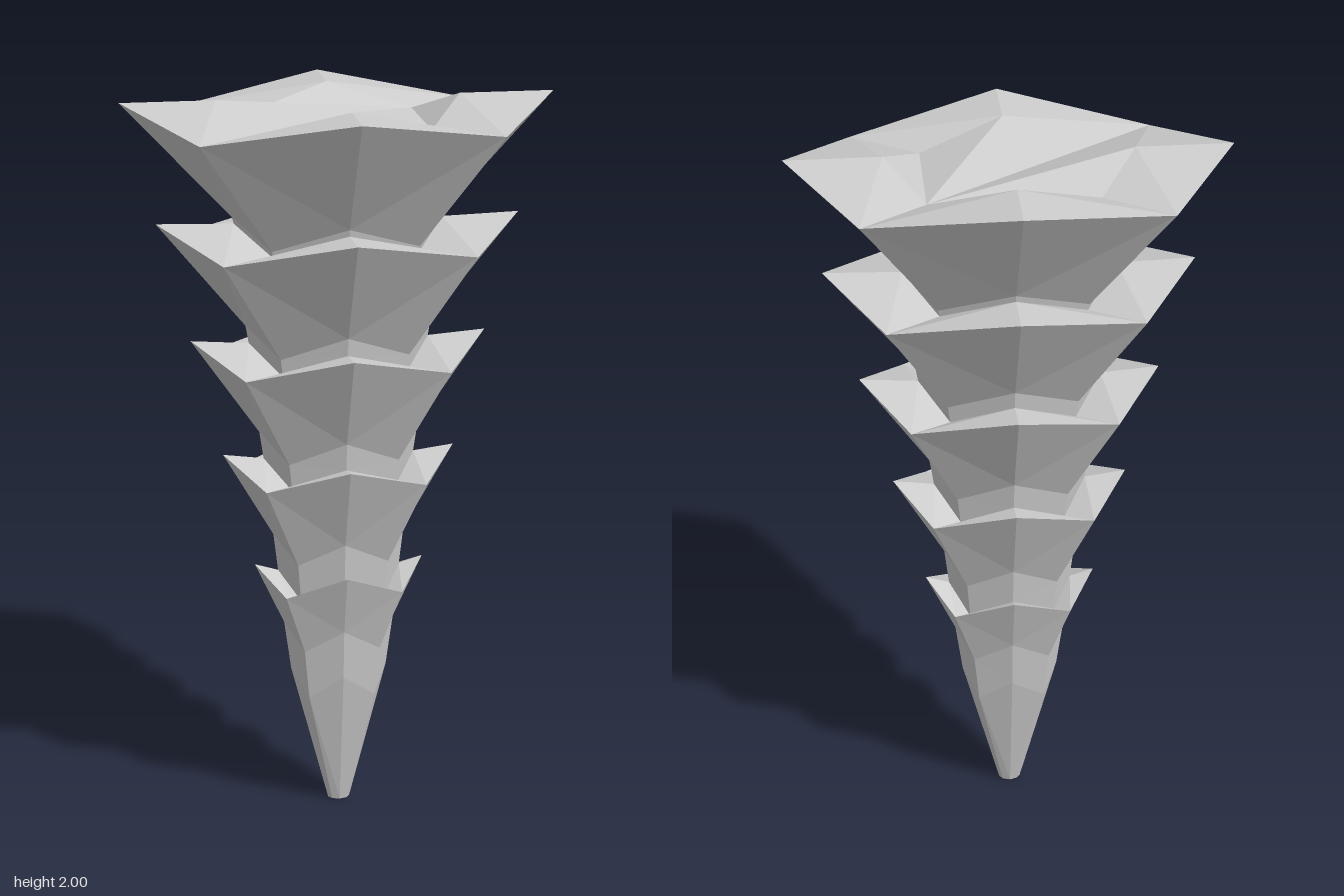
import * as THREE from 'three';

const DEPTH = 0.667; // z radius relative to x radius
const CORNER = 0.685; // size of the four diagonal corners

// Eight-point ring: the diagonal corners hang lower than the axis points
function ring(r, y, drop = 0.065) {
  return Array.from({ length: 8 }, (_, k) => {
    const a = (k * Math.PI) / 4;
    const diag = k % 2;
    const sx = diag ? Math.sign(Math.cos(a)) * CORNER : Math.round(Math.cos(a));
    const sz = diag ? Math.sign(Math.sin(a)) * CORNER : Math.round(Math.sin(a));
    return [sx * r, y - (diag ? drop : 0), sz * r * DEPTH];
  });
}

// Skin between two rings; ledges use the opposite quad diagonal
function band(low, up, ledge = false) {
  const tris = [];
  for (let k = 0; k < 8; k++) {
    const n = (k + 1) % 8;
    const a = low[k], b = low[n], c = up[n], d = up[k];
    if ((k % 2 === 0) !== ledge) tris.push(a, d, c, a, c, b);
    else tris.push(a, d, b, d, c, b);
  }
  return tris;
}

// Fan closing a ring from one of its points
function cap(points, hub, facingUp) {
  const tris = [];
  for (let i = 1; i < 7; i++) {
    const p = points[(hub + i) % 8], q = points[(hub + i + 1) % 8];
    tris.push(points[hub], ...(facingUp ? [q, p] : [p, q]));
  }
  return tris;
}

export function createModel() {
  const model = new THREE.Group();
  model.name = 'tieredSpike';
  const material = new THREE.MeshStandardMaterial({ color: 0xcccccc, flatShading: true });

  const addPart = (name, tris) => {
    const geometry = new THREE.BufferGeometry();
    geometry.setAttribute('position', new THREE.Float32BufferAttribute(tris.flat(), 3));
    geometry.computeVertexNormals();
    const mesh = new THREE.Mesh(geometry, material);
    mesh.name = name;
    model.add(mesh);
  };

  // Pointed tip with a small flat end
  const foot = ring(0.03, 0, 0);
  let base = ring(0.133, 0.4);
  addPart('tip', [...cap(foot, 0, false), ...band(foot, base)]);

  // Flared tiers, bottom to top: [waist r, waist y, rim r, rim y, inner r, inner y]
  const tiers = [
    [0.152, 0.54, 0.232, 0.715, 0.168, 0.695],
    [0.18, 0.8, 0.315, 1.035, 0.205, 1.02],
    [0.216, 1.095, 0.397, 1.357, 0.242, 1.345],
    [0.25, 1.393, 0.483, 1.678, 0.278, 1.672],
    [0.283, 1.69, 0.571, 2, 0.32, 2],
  ];
  tiers.forEach(([wr, wy, rr, ry, ir, iy], i) => {
    const waist = ring(wr, wy), rim = ring(rr, ry), inner = ring(ir, iy);
    addPart(`tier${i + 1}`, [
      ...band(base, waist),
      ...band(waist, rim),
      ...band(rim, inner, true),
    ]);
    base = inner;
  });

  // Faceted top face
  addPart('topFace', cap(base, 7, true));
  return model;
}
